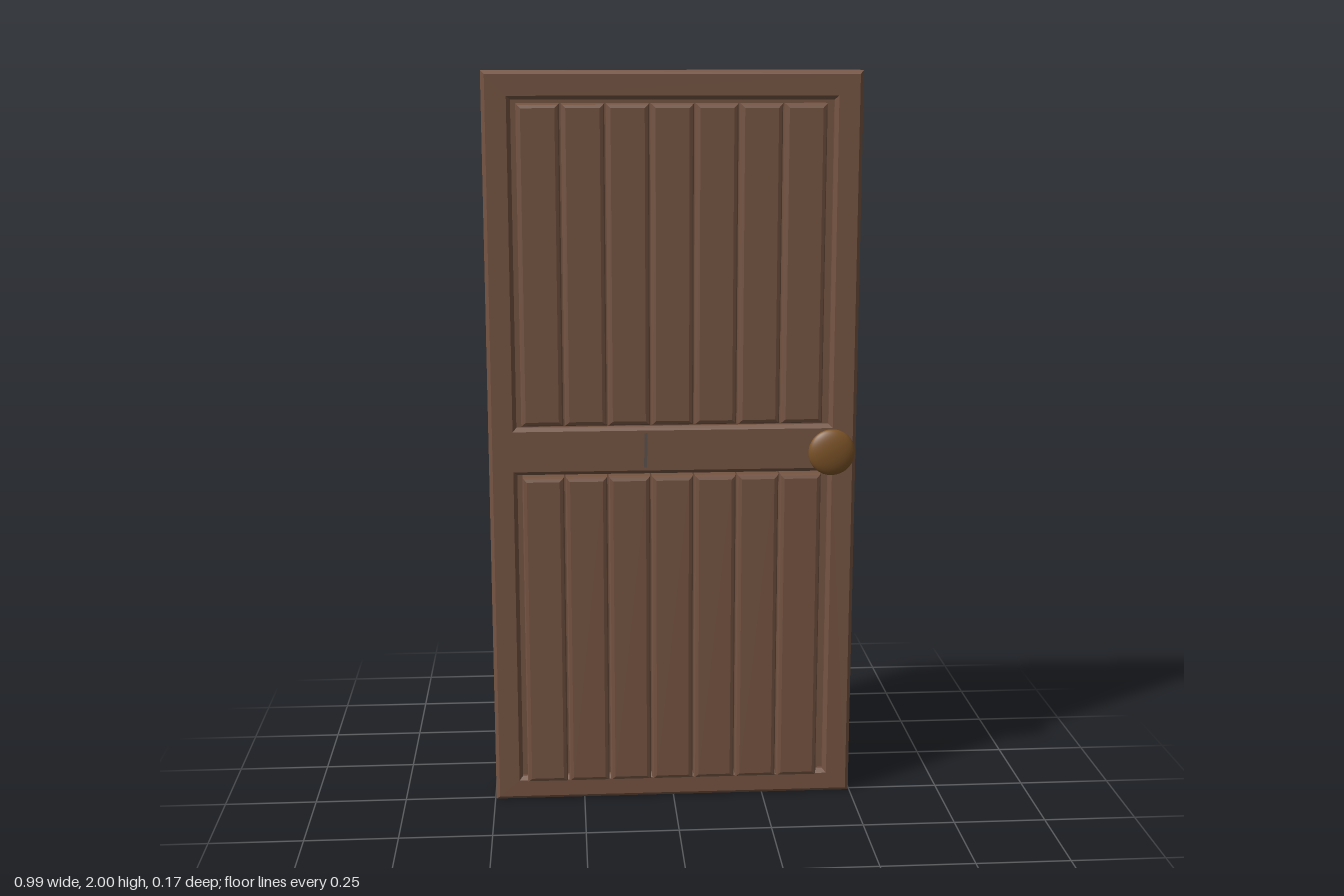
import * as THREE from 'three';

export function createModel() {
  const door = new THREE.Group();
  door.name = 'door';
  const wood = new THREE.MeshStandardMaterial({ color: 0x765543 });
  wood.name = 'brown wood';
  const brass = new THREE.MeshStandardMaterial({ color: 0x7d5428 });
  brass.name = 'aged brass';
  const grey = new THREE.MeshStandardMaterial({ color: 0x5d534d, side: THREE.DoubleSide });
  grey.name = 'grey weathering';

  const add = (name, geometry, material, x = 0, y = 0, z = 0) => {
    const mesh = new THREE.Mesh(geometry, material);
    mesh.name = name;
    mesh.position.set(x, y, z);
    door.add(mesh);
    return mesh;
  };

  const rect = (x0, y0, x1, y1, Type = THREE.Shape) =>
    new Type([[x0, y0], [x1, y0], [x1, y1], [x0, y1]].map(p => new THREE.Vector2(...p)));

  // Slab between two depths whose outline and holes have bevelled rims
  const slab = (shape, z0, z1, bevel, segments = 1) =>
    new THREE.ExtrudeGeometry(shape, {
      depth: z1 - z0 - 2 * bevel, bevelEnabled: true, bevelSize: bevel,
      bevelThickness: bevel, bevelOffset: -bevel, bevelSegments: segments,
    }).translate(0, 0, z0 + bevel);

  const W = 0.497;

  // Solid core, forming the floors of the recesses
  add('core', new THREE.BoxGeometry(2 * W, 1.976, 0.075), wood, 0, 1, -0.0375);

  // Front frame with two openings
  const front = rect(-W, 0, W, 2);
  front.holes.push(rect(-0.422, 1.062, 0.422, 1.925, THREE.Path));
  front.holes.push(rect(-0.422, 0.066, 0.422, 0.932, THREE.Path));
  add('frontFrame', slab(front, -0.045, 0.02, 0.01), wood);

  // Back frame with one shallow opening
  const back = rect(-W, 0, W, 2);
  back.holes.push(rect(-0.42, 0.072, 0.42, 1.922, THREE.Path));
  add('backFrame', slab(back, -0.087, -0.03, 0.01), wood);

  // Two rows of vertical planks
  for (const [row, y0, y1] of [['upper', 1.07, 1.916], ['lower', 0.058, 0.93]]) {
    for (let i = 0; i < 7; i++) {
      const x = -0.408 + i * 0.116;
      add(row + 'Plank', slab(rect(x, y0, x + 0.112, y1), -0.02, 0.042, 0.012, 2), wood);
    }
  }

  // Knob and stem
  const stem = add('knobStem', new THREE.CylinderGeometry(0.012, 0.012, 0.06, 20), brass, 0.423, 0.995, 0.035);
  stem.rotation.x = Math.PI / 2;
  const knob = add('knob', new THREE.SphereGeometry(1, 40, 24), brass, 0.423, 0.995, 0.064);
  knob.scale.set(0.063, 0.063, 0.022);

  // Thin weathered streaks: on the back, over the top edge and on the front rail
  const streak = (name, points, z) =>
    add(name, new THREE.ShapeGeometry(new THREE.Shape(points.map(p => new THREE.Vector2(...p)))), grey, 0, 0, z);
  streak('backTopStain', [[0.065, 1.99], [-0.1, 1.99], [-0.1, 1.932], [0.07, 1.932]], -0.088);
  streak('backStain', [[0.07, 1.92], [-0.1, 1.92], [-0.1, 1.82], [-0.085, 1.74], [-0.085, 1.56],
    [-0.068, 1.49], [-0.058, 1.6], [-0.02, 1.63], [0.0, 1.7], [0.035, 1.8]], -0.0762);
  for (const [y0, y1, w] of [[1.22, 1.39, 0.012], [1.06, 1.14, 0.012], [0.78, 1.02, 0.015], [0.08, 0.75, 0.012]]) {
    const m = (y0 + y1) / 2;
    streak('backStreak', [[-0.068, y0], [-0.07 + w, m], [-0.064, y1], [-0.076, y1], [-0.07 - w, m], [-0.08, y0]], -0.0762);
  }
  streak('backBottomStreak', [[-0.064, 0.02], [-0.064, 0.06], [-0.078, 0.06], [-0.078, 0.02]], -0.088);
  streak('frontStreak', [[-0.072, 0.95], [-0.07, 1.045], [-0.078, 1.045], [-0.08, 0.95]], 0.021);
  const top = streak('topStain', [[-0.09, 0.077], [0.02, 0.077], [-0.055, 0.07], [-0.068, 0.045],
    [-0.072, 0.02], [-0.078, 0.02], [-0.08, 0.05]], 0);
  top.rotation.x = -Math.PI / 2;
  top.position.y = 2.0008;

  return door;
}
